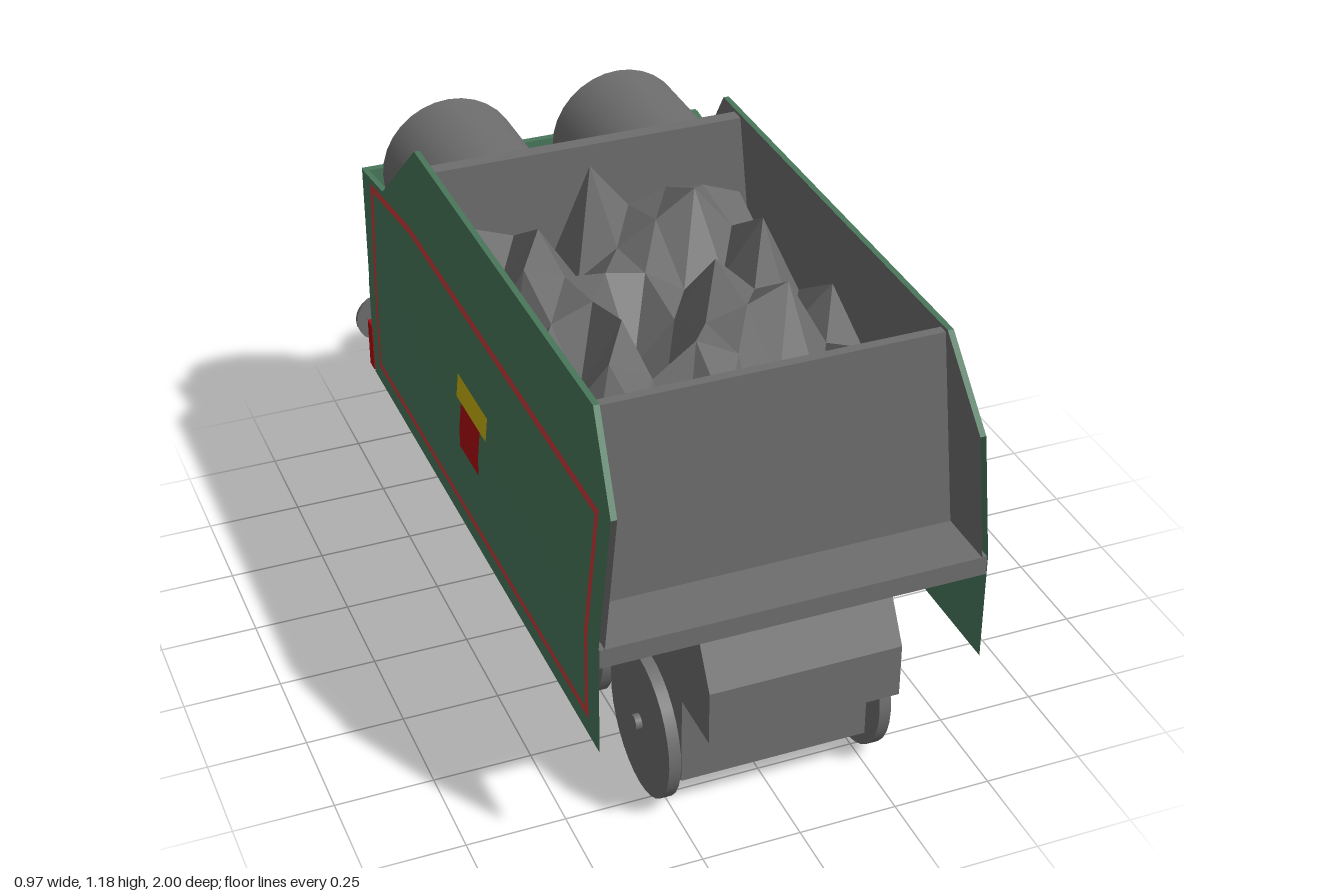
import * as THREE from 'three';

const mat = (name, color) => new THREE.MeshStandardMaterial({ name, color, side: THREE.DoubleSide });

// half width of the body: upright at the base and rear, leaning in towards the top
const BEND = 0.64;
const skin = (y, z) => {
  const rise = Math.max(0, (y - BEND) / 0.54);
  const run = THREE.MathUtils.clamp((z + 0.82) / 0.33, 0, 1);
  return 0.482 - 0.05 * rise * run;
};

// flat-faced geometry from a list of quads
function quads(list) {
  const pos = [];
  for (const [a, b, c, d] of list) pos.push(...a, ...b, ...c, ...a, ...c, ...d);
  const g = new THREE.BufferGeometry();
  g.setAttribute('position', new THREE.Float32BufferAttribute(pos, 3));
  g.computeVertexNormals();
  return g;
}

// sheet following the body skin, between lower and upper heights at each z
function sheet(zs, lo, hi, off) {
  const list = [];
  const p = (y, z) => [skin(y, z) + off, y, z];
  const rows = i => {
    const l = lo[i], h = hi[i];
    return lo[0] < BEND && hi[0] > BEND ? [l, BEND, h] : [l, h];
  };
  for (let i = 0; i < zs.length - 1; i++) {
    const a = rows(i), b = rows(i + 1);
    for (let r = 0; r < a.length - 1; r++) {
      list.push([p(b[r], zs[i + 1]), p(a[r], zs[i]), p(a[r + 1], zs[i]), p(b[r + 1], zs[i + 1])]);
    }
  }
  return quads(list);
}

export function createModel() {
  const root = new THREE.Group();
  root.name = 'coalTender';
  const grey = mat('grey', 0x6e6e6e);
  const green = mat('green', 0x49785c);
  const red = mat('red', 0xae0c10);
  const lightRed = mat('liningRed', 0xcb3a37);
  const yellow = mat('yellow', 0xcab10e);

  const add = (name, geo, material, parent = root) => {
    const m = new THREE.Mesh(geo, material);
    m.name = name;
    parent.add(m);
    return m;
  };
  const box = (name, material, x0, x1, y0, y1, z0, z1, parent) => {
    const g = new THREE.BoxGeometry(x1 - x0, y1 - y0, z1 - z0);
    g.translate((x0 + x1) / 2, (y0 + y1) / 2, (z0 + z1) / 2);
    return add(name, g, material, parent);
  };
  const cyl = (name, material, r, axis, from, to, u, y, parent, n = 32) => {
    const g = new THREE.CylinderGeometry(r, r, to - from, n);
    const c = (from + to) / 2;
    if (axis === 'x') g.rotateZ(Math.PI / 2).translate(c, y, u);
    else g.rotateX(Math.PI / 2).translate(u, y, c);
    return add(name, g, material, parent);
  };

  // underframe, floor and front step
  box('underframe', grey, -0.24, 0.24, 0.11, 0.59, -0.82, 0.84);
  box('floor', grey, -0.48, 0.48, 0.59, BEND, -0.82, 0.94);
  const step = new THREE.Shape([[0.8, 0.35], [1, 0.35], [1, 0.49], [0.94, 0.59], [0.8, 0.59]]
    .map(([z, y]) => new THREE.Vector2(z, y)));
  const stepGeo = new THREE.ExtrudeGeometry(step, { depth: 0.48, bevelEnabled: false });
  add('frontStep', stepGeo.rotateY(-Math.PI / 2).translate(0.24, 0, 0), grey);

  // rear tank deck, rear plate and buffer beam
  box('tankDeck', grey, -0.46, 0.46, BEND, 0.77, -0.81, -0.4);
  box('rearPlate', green, -0.48, 0.48, BEND, 0.98, -0.83, -0.81);
  box('rearPlateLower', green, -0.48, 0.48, 0.49, BEND, -0.835, -0.81);
  box('bufferBeam', red, -0.482, 0.482, 0.35, 0.49, -0.868, -0.83);

  // cross walls, tapered to fit between the sides
  const wall = (name, z0, z1, top) => {
    const g = new THREE.BoxGeometry(2, top - BEND, z1 - z0);
    g.translate(0, (top + BEND) / 2, (z0 + z1) / 2);
    const p = g.attributes.position;
    for (let i = 0; i < p.count; i++) p.setX(i, p.getX(i) * (skin(p.getY(i), p.getZ(i)) - 0.004));
    g.computeVertexNormals();
    add(name, g, grey);
  };
  wall('frontWall', 0.755, 0.78, 1.17);
  wall('bulkhead', -0.42, -0.38, 1.17);

  // heap of coal: a coarse grid with seeded heights
  let seed = 11;
  const rand = () => (seed = (seed * 16807) % 2147483647) / 2147483647;
  const coal = new THREE.PlaneGeometry(0.84, 1.15, 8, 6).rotateX(-Math.PI / 2).translate(0, 0, 0.195);
  const cp = coal.attributes.position;
  for (let i = 0; i < cp.count; i++) {
    const edge = Math.abs(cp.getX(i)) > 0.4;
    const front = cp.getZ(i) > 0.7 && cp.getX(i) > -0.25;
    cp.setY(i, 0.86 + rand() * (edge ? 0.2 : 0.29) - (front ? 0.06 : 0));
  }
  const coalGeo = coal.toNonIndexed();
  coalGeo.computeVertexNormals();
  add('coal', coalGeo, grey);

  // sides, mirrored
  const zs = [-0.82, -0.68, -0.49, 0.79, 0.94];
  const tops = [0.98, 0.98, 1.18, 1.18, 0.98];
  const flat = v => zs.map(() => v);
  for (const s of [1, -1]) {
    const side = new THREE.Group();
    side.name = s > 0 ? 'leftSide' : 'rightSide';
    side.scale.x = s;
    root.add(side);

    add('sidePanel', sheet(zs, flat(0.35), tops, 0), green, side);
    add('innerLining', sheet(zs, flat(0.59), tops, -0.015), grey, side);
    const edge = (i, off) => [skin(tops[i], zs[i]) + off, tops[i], zs[i]];
    add('panelRim', quads([0, 1, 2, 3].map(i =>
      [edge(i, 0), edge(i, -0.015), edge(i + 1, -0.015), edge(i + 1, 0)])), green, side);

    // thin lining frame
    const fz = [-0.755, -0.68, -0.49, 0.88];
    const band = (z, y0, y1) => add('liningFrame',
      sheet(z, z.map(() => y0), z.map(() => y1), 0.004), lightRed, side);
    band(fz, 0.95, 0.97);
    band(fz, 0.405, 0.425);
    band([-0.755, -0.735], 0.425, 0.95);
    band([0.86, 0.88], 0.425, 0.95);

    // plain badge
    const badge = (name, m, z0, z1, y0, y1) =>
      add(name, sheet([z0, z1], [y0, y0], [y1, y1], 0.004), m, side);
    badge('badgeTop', yellow, -0.06, 0.165, 0.715, 0.78);
    badge('badgeBody', red, -0.025, 0.12, 0.59, 0.715);

    // wheels with hubs
    for (const z of [0.69, 0.255, -0.175, -0.61]) {
      cyl('wheel', grey, 0.19, 'x', 0.257, 0.287, z, 0.192, side);
      cyl('axle', grey, 0.02, 'x', 0.23, 0.303, z, 0.192, side, 16);
    }

    // rear cylinders and buffers
    cyl('rearCylinder', grey, 0.19, 'z', -0.805, -0.42, 0.24, 0.96, side);
    cyl('bufferShaft', red, 0.027, 'z', -0.99, -0.85, 0.41, 0.415, side, 16);
    cyl('bufferHead', grey, 0.072, 'z', -1, -0.988, 0.41, 0.415, side, 24);
  }
  return root;
}
